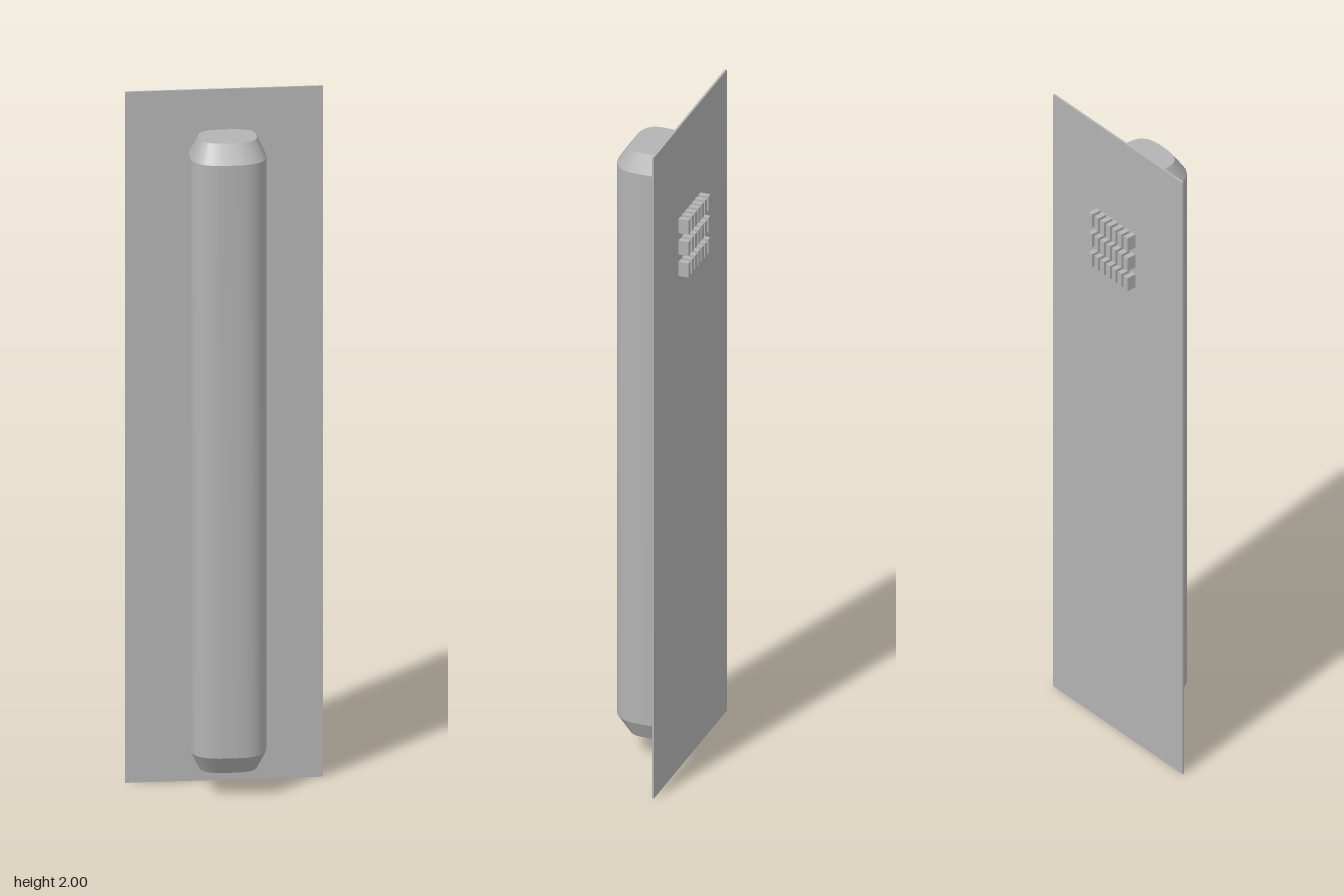
import * as THREE from 'three';
import { toCreasedNormals } from 'three/addons/utils/BufferGeometryUtils.js';

export function createModel() {
  const model = new THREE.Group();
  const grey = new THREE.MeshStandardMaterial({ color: 0xb3b3b3 });
  grey.name = 'grey';

  const add = (name, geometry, x, y, z, parent = model) => {
    const mesh = new THREE.Mesh(geometry, grey);
    mesh.name = name;
    mesh.position.set(x, y, z);
    parent.add(mesh);
    return mesh;
  };

  // Thin upright panel
  add('backPanel', new THREE.BoxGeometry(0.545, 2, 0.006), 0, 1, -0.0835);

  // Long rounded-square body with chamfered ends: [half width, half depth, height] of each ring
  const rings = [
    [0, 0, 0.073], [0.08, 0.0615, 0.073], [0.105, 0.0965, 0.126],
    [0.105, 0.0965, 1.842], [0.08, 0.0615, 1.895], [0, 0, 1.895],
  ];
  const body = new THREE.LatheGeometry(rings.map(([w, , y]) => new THREE.Vector2(w, y)), 40);
  const p = body.attributes.position;
  const round = (v) => Math.sign(v) * Math.pow(Math.abs(v), 2 / 2.9);
  for (let i = 0; i < p.count; i++) {
    const [w, d] = rings[i % rings.length];
    const a = Math.floor(i / rings.length) / 40 * Math.PI * 2;
    p.setX(i, w * round(Math.sin(a)));
    p.setZ(i, d * round(Math.cos(a)));
  }
  add('body', toCreasedNormals(body, 0.38), 0, 0, 0.0165);

  // Grid of small pins passing through the panel
  const pins = new THREE.Group();
  pins.name = 'pinGrid';
  model.add(pins);
  const pin = new THREE.BoxGeometry(0.016, 0.044, 0.071);
  for (let row = 0; row < 3; row++) {
    for (let col = 0; col < 7; col++) {
      add('pin', pin, -0.067 + col * 0.0247, 1.561 + row * 0.067, -0.0805, pins);
    }
  }
  return model;
}
